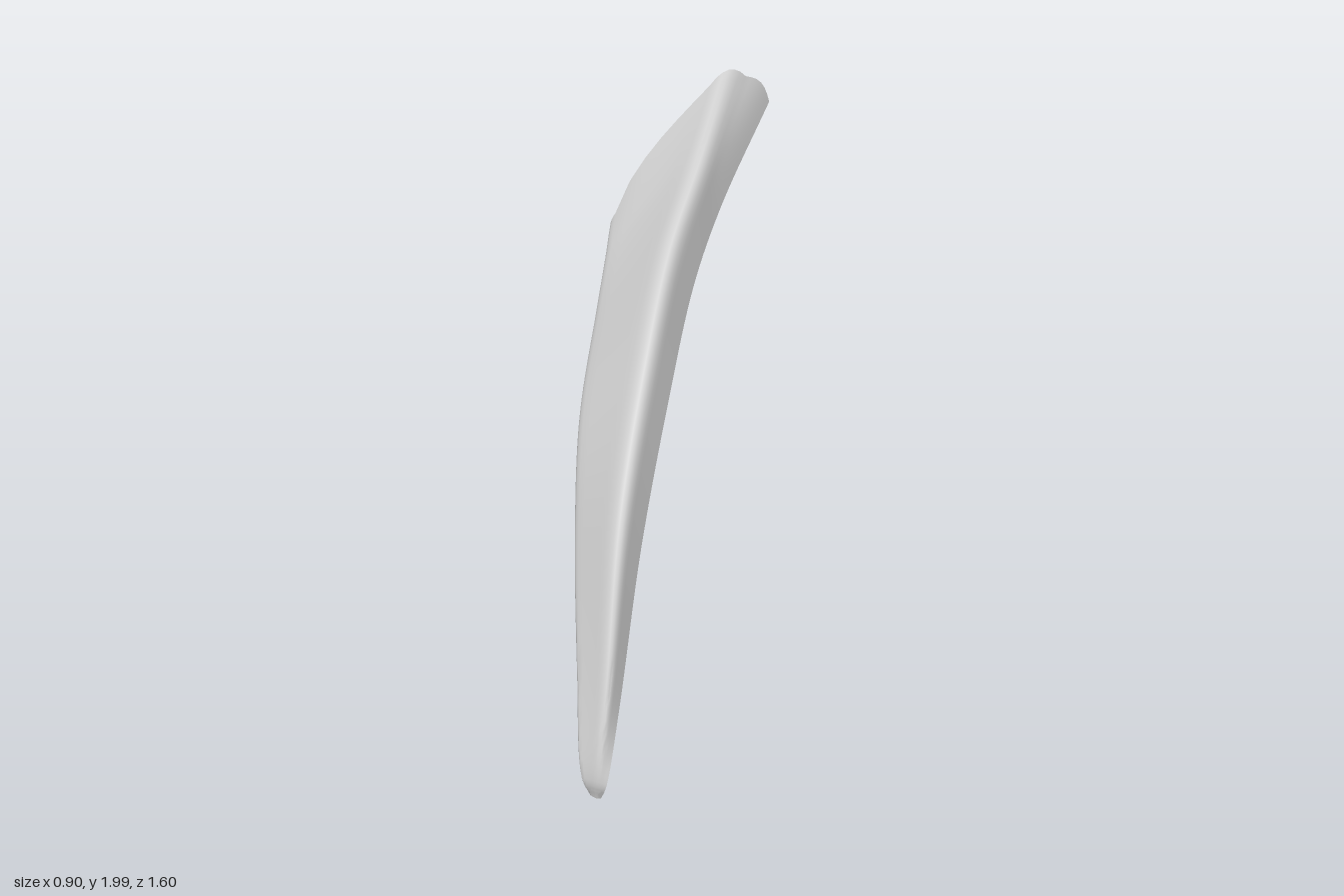
import * as THREE from 'three';
import { toCreasedNormals } from 'three/addons/utils/BufferGeometryUtils.js';

const V = (a) => new THREE.Vector3(...a);

// Four long edges of the curved blade, from the narrow tip to the slanted end
const EDGES = {
  frontRight: [[.415, 0, .79], [.425, .07, .797], [.395, .34, .715], [.26, .82, .495], [.1, 1.24, .19],
    [-.03, 1.53, -.075], [-.135, 1.785, -.365], [-.265, 2.025, -.65]],
  backRight: [[.425, 0, .78], [.45, .06, .78], [.405, .27, .67], [.28, .68, .43], [.135, 1.07, .13],
    [0, 1.36, -.15], [-.09, 1.57, -.4], [-.2, 1.86, -.8]],
  backLeft: [[.39, 0, .778], [.37, .04, .774], [.25, .295, .62], [.05, .64, .375], [-.12, .905, .165],
    [-.28, 1.17, -.09], [-.36, 1.3, -.235], [-.41, 1.39, -.345]],
  frontLeft: [[.385, 0, .79], [.36, .06, .803], [.235, .33, .695], [.02, .69, .485], [-.15, .97, .285],
    [-.315, 1.24, .025], [-.405, 1.385, -.115], [-.46, 1.465, -.2]],
};
const ROUNDING = [.5, 0, .28, .3]; // the back right edge stays sharp
// How each side of the end rim bows outward, and where along it the bow peaks
const BOW = [[0, .02, -.02], [-.03, 0, 0], [-.01, .01, -.01], [-.028, .035, -.02]].map(V);
const SKEW = [1, 1.8, 1, .65];
const STEPS = 56, ARC = 6, SIDE = 6;

// One rounded four-cornered cross-section
function section(corners, bow) {
  const thickness = corners[0].distanceTo(corners[1]);
  const arcs = corners.map((c, k) => {
    if (!ROUNDING[k]) return [c];
    const toward = (p) => {
      const d = p.clone().sub(c);
      return d.setLength(Math.min(ROUNDING[k] * thickness, d.length() * .4)).add(c);
    };
    const start = toward(corners[(k + 3) % 4]), end = toward(corners[(k + 1) % 4]);
    return new THREE.QuadraticBezierCurve3(start, c, end).getPoints(ARC);
  });
  return arcs.flatMap((arc, k) => {
    const pts = [...arc];
    const a = arc[arc.length - 1], b = arcs[(k + 1) % 4][0];
    for (let i = 1; i < SIDE; i++) {
      const u = i / SIDE;
      pts.push(a.clone().lerp(b, u).addScaledVector(BOW[k], bow * Math.sin(Math.PI * u ** SKEW[k])));
    }
    return pts;
  });
}

function bladeGeometry() {
  const curves = Object.values(EDGES).map((e) => new THREE.CatmullRomCurve3(e.map(V)));
  const rings = [];
  for (let i = 0; i <= STEPS; i++) {
    const t = i / STEPS;
    rings.push(section(curves.map((c) => c.getPoint(t)), Math.max(0, (t - .86) / .14)));
  }
  const n = rings[0].length;
  const points = rings.flat(), idx = [];
  for (let i = 0; i < STEPS; i++) {
    for (let j = 0; j < n; j++) {
      const a = i * n + j, b = i * n + (j + 1) % n;
      idx.push(a, b, b + n, a, b + n, a + n);
    }
  }
  // Close the tip flat and the slanted end with a slight dome
  const close = (row, push, flip) => {
    const mid = new THREE.Vector3();
    rings[row].forEach((p) => mid.add(p));
    const m = points.push(mid.divideScalar(n).add(push)) - 1;
    for (let j = 0; j < n; j++) {
      const a = row * n + j, b = row * n + (j + 1) % n;
      idx.push(m, flip ? b : a, flip ? a : b);
    }
  };
  close(0, V([0, 0, 0]), true);
  close(STEPS, V([-.012, .015, -.015]), false);

  const g = new THREE.BufferGeometry().setFromPoints(points);
  g.setIndex(idx);
  return toCreasedNormals(g, .7);
}

export function createModel() {
  const group = new THREE.Group();
  const blade = new THREE.Mesh(bladeGeometry(), new THREE.MeshStandardMaterial({ color: 0xcccccc }));
  blade.name = 'curvedBlade';
  group.add(blade);
  return group;
}
